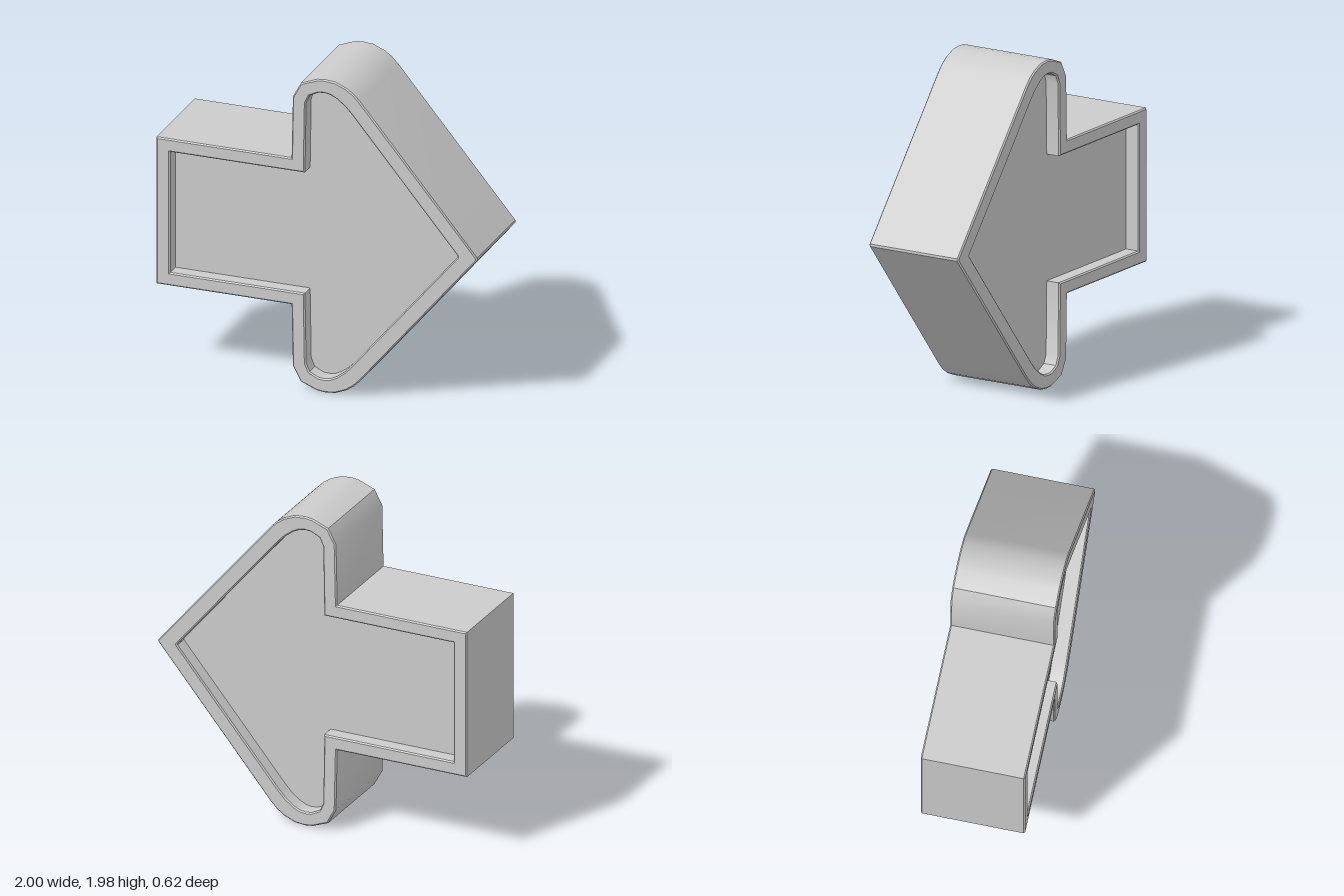
import * as THREE from 'three';
import { toCreasedNormals } from 'three/addons/utils/BufferGeometryUtils.js';

const CENTER_Y = 0.99, DEPTH = 0.62, RECESS = 0.09, BEVEL = 0.008;

// Upper half of each outline, from the tip round to the tail; y is measured from the centre line
const OUTER = [[1, 0.008], [0.27, 0.882], [0.23, 0.922], [0.185, 0.953], [0.115, 0.982], [0.05, 0.988],
  [0, 0.982], [-0.1, 0.943], [-0.15, 0.85], [-0.158, 0.463], [-1, 0.463]];
const INNER = [[0.877, 0.004], [0.215, 0.796], [0.175, 0.838], [0.125, 0.876], [0.085, 0.896], [0.05, 0.902],
  [0.01, 0.899], [-0.045, 0.872], [-0.068, 0.822], [-0.075, 0.381], [-0.915, 0.381]];

// Full closed outline: upper half plus its mirror image
function outline(half) {
  const lower = half.map(([x, y]) => [x, -y]).reverse();
  return [...half, ...lower].map(([x, y]) => new THREE.Vector2(x, y));
}

function part(name, geometry, material) {
  const mesh = new THREE.Mesh(geometry, material);
  mesh.name = name;
  mesh.position.y = CENTER_Y;
  return mesh;
}

export function createModel() {
  const group = new THREE.Group();
  group.name = 'arrowSign';
  const material = new THREE.MeshStandardMaterial({ color: 0xcccccc });

  // Deep rim with softly bevelled edges
  const rimShape = new THREE.Shape(outline(OUTER));
  rimShape.holes.push(new THREE.Path(outline(INNER)));
  const rim = new THREE.ExtrudeGeometry(rimShape, {
    depth: DEPTH - 2 * BEVEL, bevelEnabled: true, bevelSegments: 1,
    bevelSize: BEVEL, bevelThickness: BEVEL, bevelOffset: -BEVEL,
  });
  rim.translate(0, 0, -DEPTH / 2 + BEVEL);
  group.add(part('rim', toCreasedNormals(rim, 0.6), material));

  // Panel recessed on both faces
  const thickness = DEPTH - 2 * RECESS;
  const panel = new THREE.ExtrudeGeometry(new THREE.Shape(outline(INNER)), { depth: thickness, bevelEnabled: false });
  panel.translate(0, 0, -thickness / 2);
  group.add(part('recessedPanel', panel, material));

  return group;
}
